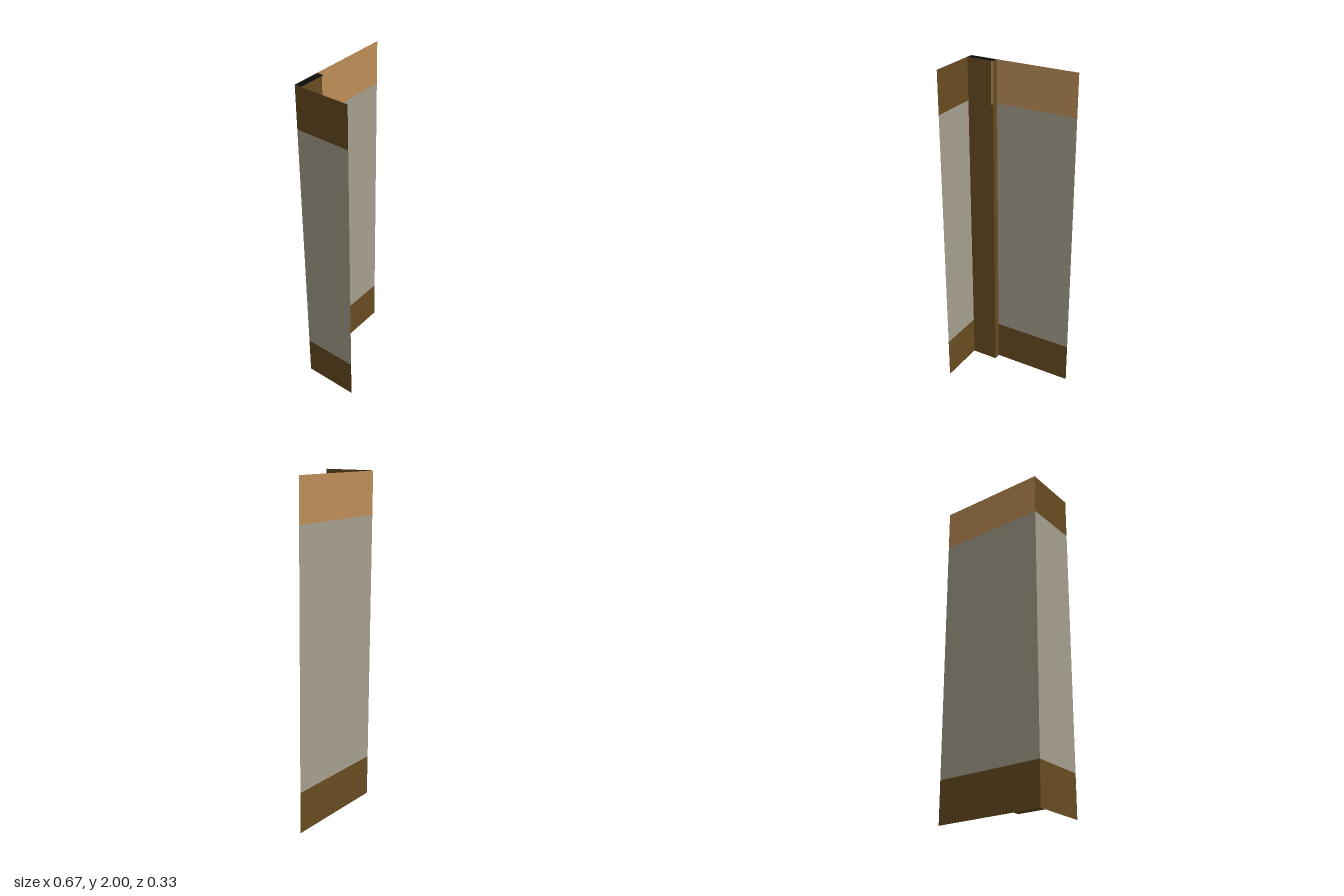
import * as THREE from 'three';

const mat = (name, color, side = THREE.FrontSide) => {
  const m = new THREE.MeshStandardMaterial({ color, side });
  m.name = name;
  return m;
};

export function createModel() {
  const darkWood = mat('dark wood', 0x694c22, THREE.DoubleSide);
  const lightWood = mat('light wood', 0xbe8e57, THREE.DoubleSide);
  const plaster = mat('plaster', 0xa69f8e, THREE.DoubleSide);
  const black = mat('black cap', 0x0d0d0d);

  const W = 2 / 3, D = 1 / 3, BAND = 0.25, H = 2;
  const model = new THREE.Group();
  model.name = 'wallCorner';

  // A sheet wall in three bands: skirting, plaster field and top rail
  function wall(name, width, topMaterial) {
    const group = new THREE.Group();
    group.name = name;
    const bands = [
      ['skirting', 0, BAND, darkWood],
      ['field', BAND, H - BAND, plaster],
      ['topRail', H - BAND, H, topMaterial],
    ];
    for (const [part, y0, y1, material] of bands) {
      const mesh = new THREE.Mesh(new THREE.PlaneGeometry(width, y1 - y0), material);
      mesh.name = part;
      mesh.position.y = (y0 + y1) / 2;
      group.add(mesh);
    }
    model.add(group);
    return group;
  }

  wall('backWall', W, lightWood).position.z = -D / 2;
  const side = wall('sideWall', D, darkWood);
  side.position.x = -W / 2;
  side.rotation.y = Math.PI / 2;

  // Corner post with a black top, set just inside both walls
  const gap = 0.001, postW = W / 4 - gap, postD = 0.042 - gap;
  const post = new THREE.Mesh(
    new THREE.BoxGeometry(postW, H, postD),
    [darkWood, darkWood, black, darkWood, darkWood, darkWood]
  );
  post.name = 'cornerPost';
  post.position.set(-W / 2 + gap + postW / 2, H / 2, -D / 2 + gap + postD / 2);
  model.add(post);

  // Narrow light edge at the top of the post's front
  const edge = new THREE.Mesh(new THREE.PlaneGeometry(0.013, BAND), lightWood);
  edge.name = 'postTopEdge';
  edge.position.set(-W / 4 - 0.011 + 0.0045, H - BAND / 2, -D / 2 + 0.0425);
  model.add(edge);

  return model;
}
